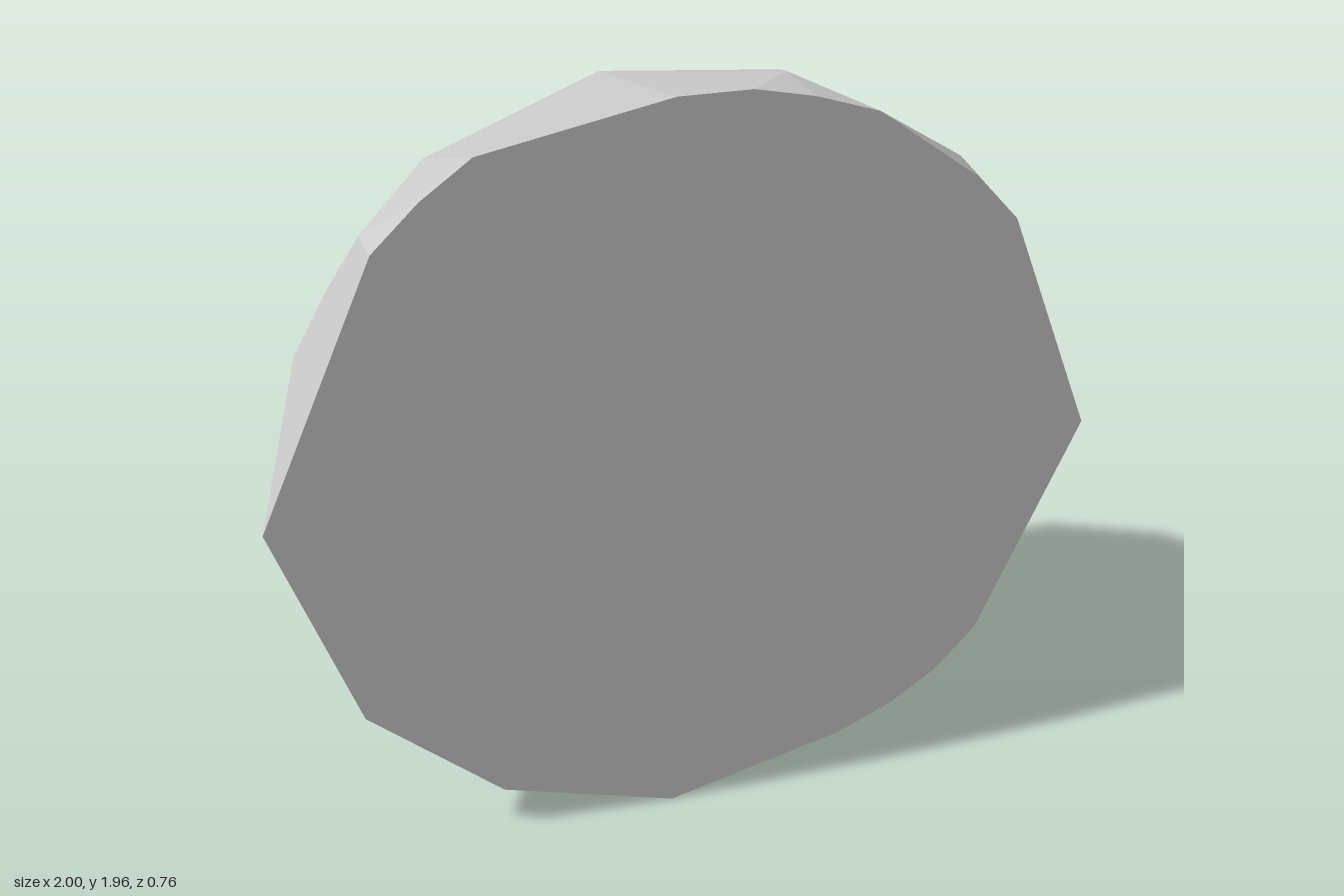
import * as THREE from 'three';
import { ConvexGeometry } from 'three/addons/geometries/ConvexGeometry.js';

// Irregular outline of the flat front face (x, y)
const RIM = [
  [1, 1], [0.77, 1.58], [0.66, 1.7], [0.42, 1.88], [0.27, 1.93], [0.13, 1.96],
  [-0.04, 1.96], [-0.48, 1.87], [-0.6, 1.78], [-0.71, 1.67], [-1, 1],
  [-0.81, 0.43], [-0.48, 0.13], [-0.04, 0], [0.41, 0.13], [0.55, 0.2],
  [0.67, 0.29], [0.77, 0.41],
];

// Rings of corners behind it: depth, radius, and the angles (degrees) kept on each
const RINGS = [
  { z: 0.23, r: 0.965, angles: [45, 75, 138, 204, 241, 315] },
  { z: 0.08, r: 0.92, angles: [0, 18, 30, 72, 162, 180, 244, 267, 281, 305, 332, 342] },
  { z: -0.08, r: 0.855, angles: [0, 60, 97, 128, 155, 180, 300, 330] },
  { z: -0.23, r: 0.75, angles: [0, 28, 56, 74, 144, 180, 231, 266, 295, 332] },
  { z: -0.38, r: 0.535, angles: [0, 66.5, 94, 138, 180, 223, 240, 266, 293] },
];

export function createModel() {
  const group = new THREE.Group();
  group.name = 'halfBoulder';

  const points = RIM.map(([x, y]) => new THREE.Vector3(x, y, 0.38));
  for (const { z, r, angles } of RINGS) {
    for (const deg of angles) {
      const a = THREE.MathUtils.degToRad(deg);
      points.push(new THREE.Vector3(r * Math.cos(a), 1 + r * Math.sin(a), z));
    }
  }

  // Faceted dome with a flat front and a smaller flat back
  const stone = new THREE.Mesh(
    new ConvexGeometry(points),
    new THREE.MeshStandardMaterial({ color: 0xcccccc, flatShading: true })
  );
  stone.name = 'facetedStone';
  group.add(stone);
  return group;
}
